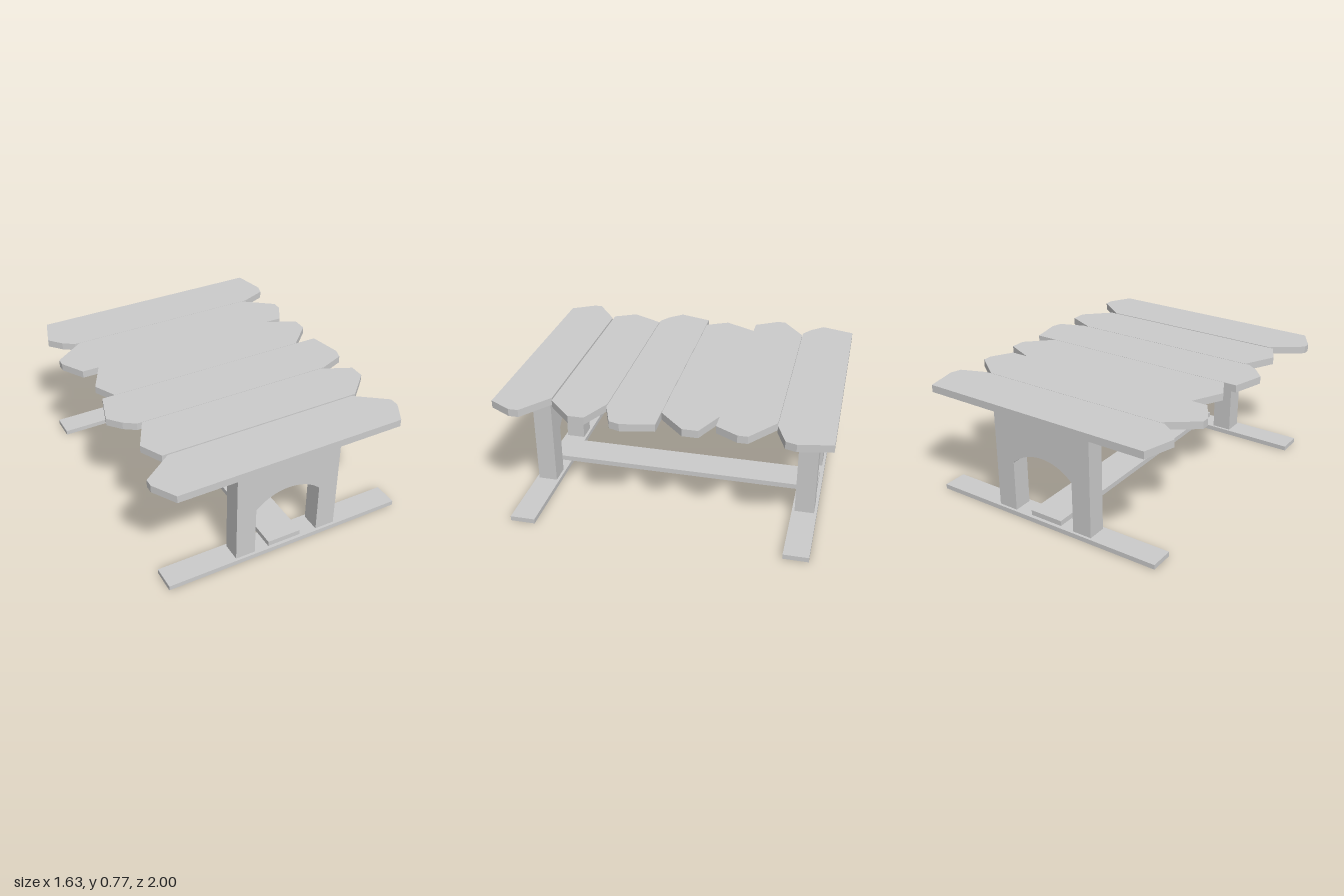
import * as THREE from 'three';
import { toCreasedNormals } from 'three/addons/utils/BufferGeometryUtils.js';

const material = new THREE.MeshStandardMaterial({ color: 0xcccccc });

// Plank outlines as [x, z], with z measured from the plank's back edge
const OUTLINES = {
  blunt: [[-0.74, 0], [0.76, 0], [0.8, 0.2], [0.78, 0.265], [0.62, 0.327],
    [-0.66, 0.327], [-0.73, 0.28], [-0.8, 0.2]],
  wide: [[-0.63, 0], [0.59, 0], [0.775, 0.14], [0.775, 0.2], [0.7, 0.333],
    [-0.735, 0.333], [-0.82, 0.19], [-0.82, 0.14]],
  pointed: [[-0.63, 0], [0.59, 0], [0.775, 0.085], [0.775, 0.18], [0.62, 0.332],
    [-0.66, 0.332], [-0.73, 0.195]],
};

function addMesh(parent, name, geometry, x = 0, y = 0, z = 0) {
  const mesh = new THREE.Mesh(geometry, material);
  mesh.name = name;
  mesh.position.set(x, y, z);
  parent.add(mesh);
  return mesh;
}

// A box given by its minimum and maximum corners
function addBox(parent, name, min, max) {
  const size = max.map((v, i) => v - min[i]);
  const mid = max.map((v, i) => (v + min[i]) / 2);
  return addMesh(parent, name, new THREE.BoxGeometry(...size), ...mid);
}

function plankGeometry(outline) {
  const shape = new THREE.Shape(outline.map(([x, z]) => new THREE.Vector2(x, -z)));
  return new THREE.ExtrudeGeometry(shape, { depth: 0.046, bevelEnabled: false })
    .rotateX(-Math.PI / 2);
}

// Slab leg with clipped top corners and an arched opening
function legGeometry(depth) {
  const mid = 0.027, half = 0.215, spring = 0.355, rise = 0.09;
  const radius = (half * half + rise * rise) / (2 * rise);
  const centerY = spring + rise - radius;
  const angle = Math.asin(half / radius);
  const shape = new THREE.Shape();
  shape.moveTo(-0.315, 0.03);
  shape.lineTo(mid - half, 0.03);
  shape.lineTo(mid - half, spring);
  shape.absarc(mid, centerY, radius, Math.PI / 2 + angle, Math.PI / 2 - angle, true);
  shape.lineTo(mid + half, 0.03);
  shape.lineTo(0.37, 0.03);
  shape.lineTo(0.37, 0.7);
  shape.lineTo(0.325, 0.72);
  shape.lineTo(-0.27, 0.72);
  shape.lineTo(-0.315, 0.7);
  shape.closePath();
  const geometry = new THREE.ExtrudeGeometry(shape, { depth, bevelEnabled: false, curveSegments: 16 })
    .translate(0, 0, -depth / 2);
  return toCreasedNormals(geometry, 0.3);
}

export function createModel() {
  const model = new THREE.Group();
  model.name = 'plankTable';

  // Table top: six rough-ended planks, back to front
  const top = new THREE.Group();
  top.name = 'tableTop';
  model.add(top);
  const planks = [['blunt', -1], ['wide', -0.671], ['pointed', -0.338],
    ['blunt', -0.004], ['pointed', 0.326], ['wide', 0.667]];
  for (const [kind, z] of planks) {
    addMesh(top, 'plank', plankGeometry(OUTLINES[kind]), 0, 0.72, z);
  }

  // Arched legs standing on long flat feet
  const leg = legGeometry(0.12);
  for (const [side, z] of [['front', 0.833], ['back', -0.841]]) {
    addMesh(model, side + 'Leg', leg, 0, 0, z);
    addBox(model, side + 'Foot', [-0.76, 0, z - 0.077], [0.815, 0.03, z + 0.077]);
  }

  // Stretcher board joining the feet
  addBox(model, 'stretcher', [-0.093, 0.03, -0.895], [0.128, 0.063, 0.89]);
  return model;
}
